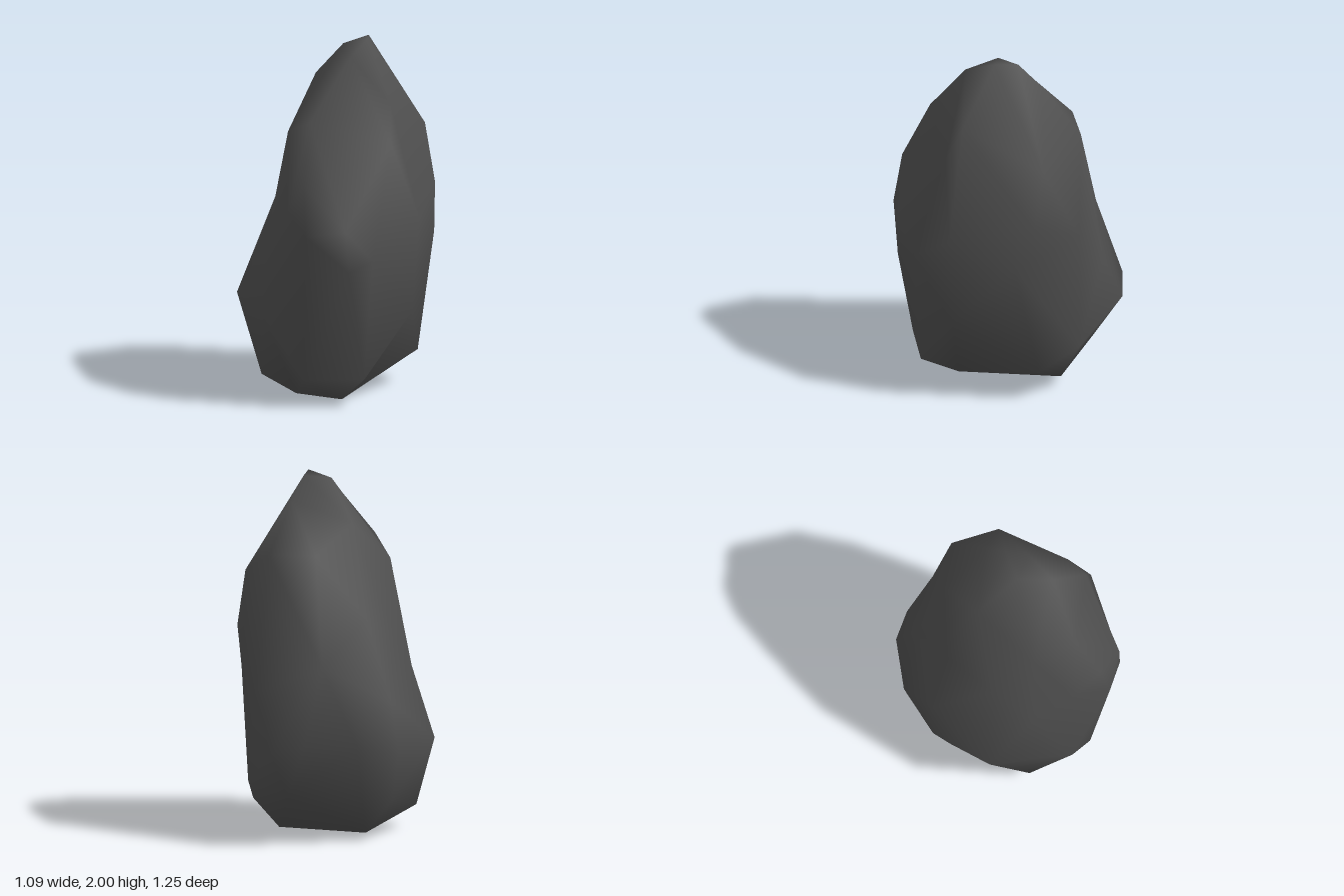
import * as THREE from 'three';
import { ConvexGeometry } from 'three/addons/geometries/ConvexGeometry.js';

// Blunt corners of the stone, level by level
const crown = [
  [0.175, 2, 0.1], [0.18, 1.99, -0.03], [0.04, 1.965, 0.06],
  [0.08, 1.93, 0.25], [0.225, 1.87, -0.15], [-0.11, 1.75, -0.14],
];
const shoulder = [
  [0.3, 1.68, 0.3], [0.3, 1.48, 0.4], [-0.145, 1.6, 0.41], [-0.265, 1.5, 0.2],
  [0.06, 1.6, -0.35], [0.32, 1.6, -0.355], [0.49, 1.47, -0.12],
];
const waist = [
  [0.545, 1.15, -0.06], [0.54, 0.9, 0.05], [0.455, 1.06, 0.4], [0.05, 1.03, 0.625],
  [-0.17, 1, 0.61], [-0.18, 1.28, 0.56], [-0.27, 1.1, 0.43], [-0.325, 1.1, -0.02],
  [-0.215, 1.25, -0.3], [0, 1, -0.49], [0.38, 0.85, -0.47], [0.47, 1.05, -0.32],
];
const belly = [
  [0.42, 0.53, 0.38], [0.2, 0.85, 0.56], [0.07, 0.8, 0.625], [-0.41, 0.53, 0.44],
  [-0.38, 0.9, 0.22], [-0.545, 0.54, 0], [-0.4, 0.5, -0.34], [-0.36, 0.8, -0.35],
  [-0.2, 0.58, -0.535], [0.08, 0.58, -0.625], [0.27, 0.53, -0.595],
];
const base = [
  [0.45, 0.19, -0.1], [0.155, 0.17, 0.51], [-0.18, 0.16, 0.5], [-0.41, 0.125, 0.2],
  [-0.35, 0.23, -0.25], [0.2, 0.27, -0.45], [0.44, 0.33, -0.33], [0.28, 0.06, -0.25],
  [-0.2, 0.04, -0.24], [-0.22, 0.035, 0.28], [0.03, 0, 0.28],
];

// Wraps a skin around the corners: their directions from the core are
// triangulated on a sphere, which keeps the shallow hollows of the sides
function wrapSkin(corners) {
  const core = new THREE.Vector3(0.05, 0.95, 0.03);
  const squash = new THREE.Vector3(1, 0.6, 1);
  const directions = corners.map((c) => c.clone().sub(core).multiply(squash).normalize());
  const sphere = new ConvexGeometry(directions).getAttribute('position');

  const indices = [];
  const p = new THREE.Vector3();
  for (let i = 0; i < sphere.count; i++) {
    p.fromBufferAttribute(sphere, i);
    indices.push(directions.findIndex((d) => d.distanceTo(p) < 1e-4));
  }

  const geometry = new THREE.BufferGeometry().setFromPoints(corners);
  geometry.setIndex(indices);
  geometry.computeVertexNormals();
  return geometry;
}

export function createModel() {
  const group = new THREE.Group();
  group.name = 'rock';
  const stone = new THREE.MeshStandardMaterial({ color: 0x505050 });
  stone.name = 'dark stone';
  const corners = [crown, shoulder, waist, belly, base]
    .flatMap((level) => level.map((c) => new THREE.Vector3(...c)));
  const boulder = new THREE.Mesh(wrapSkin(corners), stone);
  boulder.name = 'boulder';
  group.add(boulder);
  return group;
}
